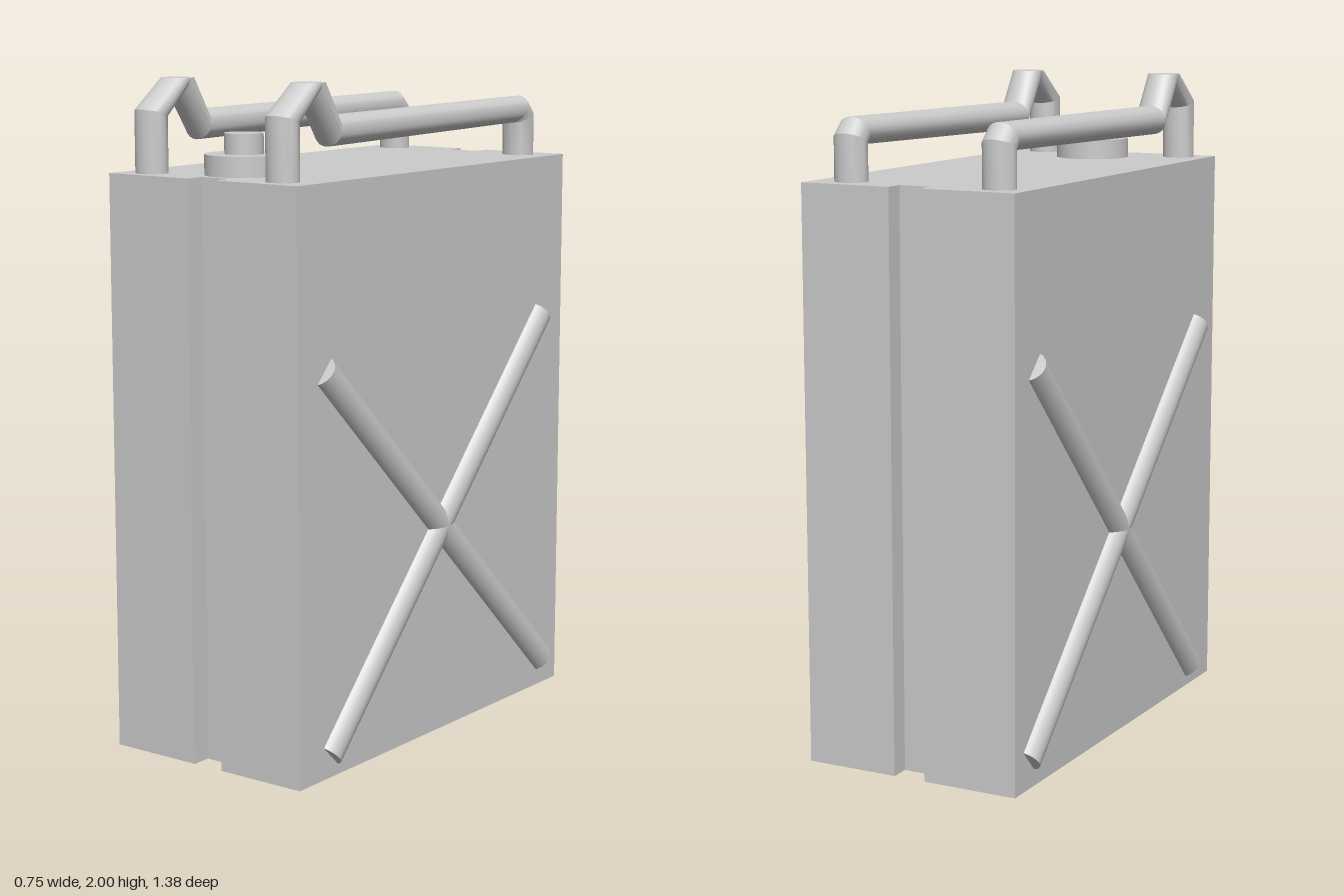
import * as THREE from 'three';
import { toCreasedNormals, mergeGeometries } from 'three/addons/utils/BufferGeometryUtils.js';

const material = new THREE.MeshStandardMaterial({ color: 0xcccccc });
const BODY_TOP = 1.73, HALF_W = 0.345, HALF_D = 0.69;
const ROUND = 24, TUBE_R = 0.05;

function addMesh(parent, name, geometry, x = 0, y = 0, z = 0) {
  const mesh = new THREE.Mesh(geometry, material);
  mesh.name = name;
  mesh.position.set(x, y, z);
  parent.add(mesh);
  return mesh;
}

// Tube through oval rings; each ring is [z, y] of one edge and [z, y] of the opposite edge.
// side = -1 turns the faces round for a run that doubles back on itself.
function loft(rings, side) {
  const positions = [], index = [];
  rings.forEach(([za, ya, zb, yb], i) => {
    for (let j = 0; j < ROUND; j++) {
      const t = (j / ROUND) * Math.PI * 2, c = Math.cos(t);
      positions.push(
        side * TUBE_R * Math.sin(t),
        (ya + yb) / 2 + ((ya - yb) / 2) * c,
        (za + zb) / 2 + ((za - zb) / 2) * c
      );
      if (i === rings.length - 1) continue;
      const k = (j + 1) % ROUND, p = i * ROUND, q = p + ROUND;
      index.push(p + j, p + k, q + j, p + k, q + k, q + j);
    }
  });
  const geometry = new THREE.BufferGeometry();
  geometry.setAttribute('position', new THREE.Float32BufferAttribute(positions, 3));
  geometry.setIndex(index);
  return toCreasedNormals(geometry, 0.45);
}

// Rectangular can with a vertical groove in the front and the back
function bodyGeometry() {
  const l = -0.047, r = 0.055, g = 0.63;
  const outline = [
    [-HALF_W, -HALF_D], [l, -HALF_D], [l, -g], [r, -g], [r, -HALF_D], [HALF_W, -HALF_D],
    [HALF_W, HALF_D], [r, HALF_D], [r, g], [l, g], [l, HALF_D], [-HALF_W, HALF_D],
  ].map(([x, z]) => new THREE.Vector2(x, z));
  return new THREE.ExtrudeGeometry(new THREE.Shape(outline), { depth: BODY_TOP, bevelEnabled: false })
    .rotateX(-Math.PI / 2);
}

// Handle rail: front post, flat-topped kink, long bar, rear post
function handleGeometry() {
  const peak = [0.54, 2, 0.445, 2];
  const front = loft([
    [0.657, BODY_TOP - 0.02, 0.565, BODY_TOP - 0.02],
    [0.657, 1.915, 0.565, 1.89],
    peak,
  ], 1);
  const rear = loft([
    peak,
    [0.41, 1.815, 0.39, 1.905],
    [-0.555, 1.832, -0.6, 1.915],
    [-0.555, 1.83, -0.646, 1.87],
    [-0.555, BODY_TOP - 0.02, -0.646, BODY_TOP - 0.02],
  ], -1);
  const top = new THREE.CircleGeometry(TUBE_R, ROUND).rotateX(-Math.PI / 2)
    .scale(1, 1, 0.95).translate(0, 2, 0.4925).toNonIndexed();
  top.deleteAttribute('uv');
  return mergeGeometries([front, rear, top]);
}

// Round bar between two [y, z] points on a side wall
function addBar(parent, name, x, [ya, za], [yb, zb]) {
  const a = new THREE.Vector3(x, ya, za), b = new THREE.Vector3(x, yb, zb);
  const bar = addMesh(parent, name, new THREE.CylinderGeometry(TUBE_R, TUBE_R, a.distanceTo(b), ROUND));
  bar.position.copy(a).lerp(b, 0.5);
  bar.quaternion.setFromUnitVectors(new THREE.Vector3(0, 1, 0), b.sub(a).normalize());
}

export function createModel() {
  const model = new THREE.Group();
  model.name = 'fuelCan';

  addMesh(model, 'body', bodyGeometry());

  // Filler cap with its knob
  const cap = new THREE.Group();
  cap.name = 'cap';
  addMesh(cap, 'capBase', new THREE.CylinderGeometry(0.115, 0.115, 0.06, 32), 0, BODY_TOP + 0.03, 0.495);
  addMesh(cap, 'capKnob', new THREE.CylinderGeometry(0.057, 0.057, 0.06, 32), 0, BODY_TOP + 0.09, 0.495);
  model.add(cap);

  // Two handle rails
  const rail = handleGeometry();
  addMesh(model, 'leftHandle', rail, 0.232);
  addMesh(model, 'rightHandle', rail, -0.25);

  // Half-sunken cross on each side wall
  for (const [name, x] of [['leftCross', 0.326], ['rightCross', -0.329]]) {
    const cross = new THREE.Group();
    cross.name = name;
    addBar(cross, 'fallingBar', x, [1.2, 0.57], [0.085, -0.605]);
    addBar(cross, 'risingBar', x, [0.065, 0.5425], [1.2325, -0.5725]);
    model.add(cross);
  }
  return model;
}
